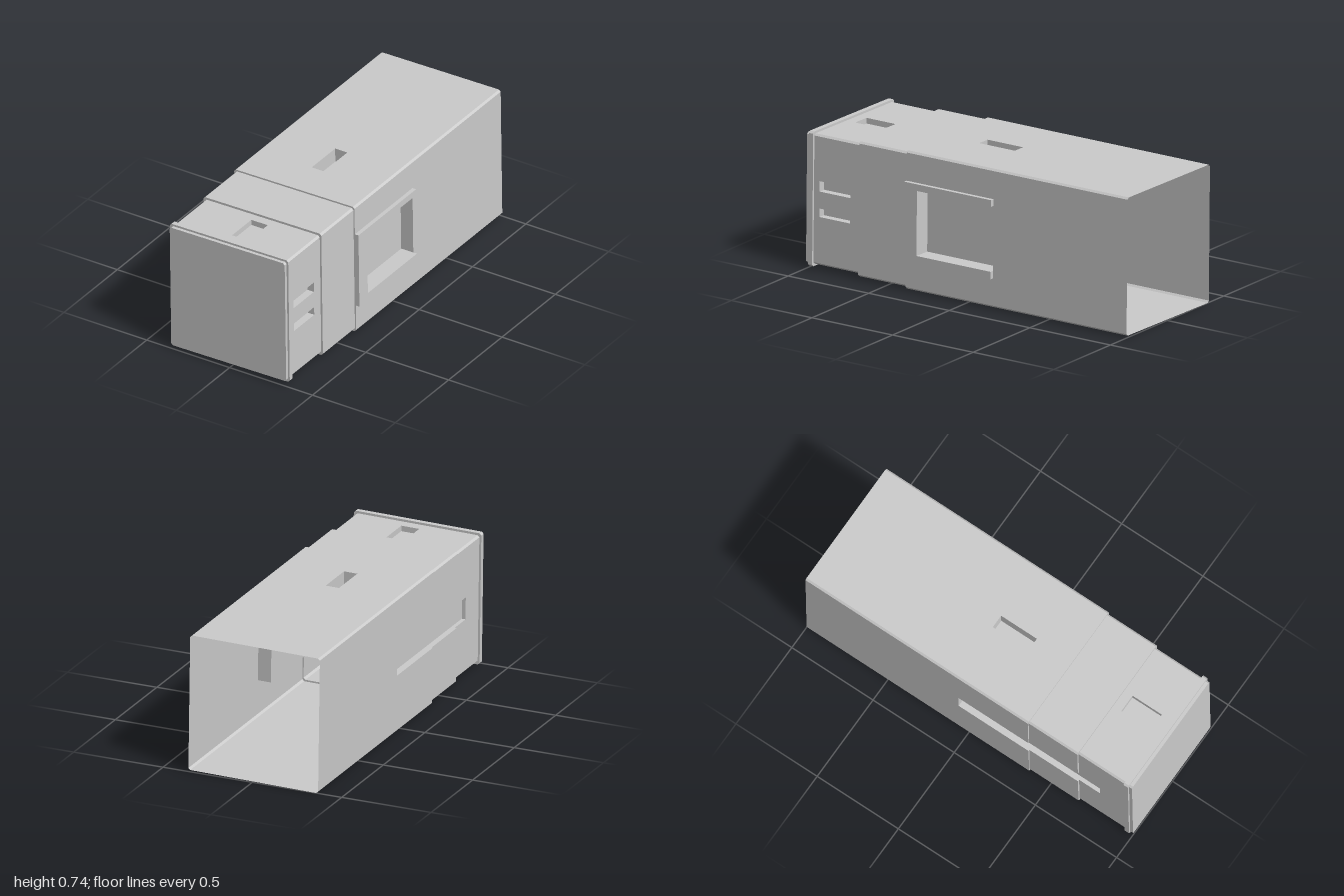
import * as THREE from 'three';

const CHAMFER = 0.01;
const mat = new THREE.MeshStandardMaterial({ color: 0xcccccc, flatShading: true, side: THREE.DoubleSide });

// Four sides of the square tube: outward normal n, along-the-side direction t
const SIDES = {
  right: { n: [1, 0], t: [0, 1], axis: 0 },
  left: { n: [-1, 0], t: [0, 1], axis: 0 },
  top: { n: [0, 1], t: [1, 0], axis: 1 },
  bottom: { n: [0, -1], t: [1, 0], axis: 1 },
};
const at = (s, u, d, z) => [s.n[0] * d + s.t[0] * u, s.n[1] * d + s.t[1] * u, z];

// Tube sections from back to front: z range and half width / half height
const SECTIONS = [
  { name: 'outerSleeve', z: [-1, 0.37], h: [0.363, 0.367] },
  { name: 'middleSleeve', z: [0.37, 0.67], h: [0.356, 0.358] },
  { name: 'frontSleeve', z: [0.67, 0.955], h: [0.346, 0.346] },
  { name: 'frontLip', z: [0.955, 0.982], h: [0.357, 0.358] },
  { name: 'frontPlate', z: [0.982, 1], h: [0.347, 0.347] },
];

// Recesses: u range, z range, and floor distance from the tube axis
const POCKETS = [
  { side: 'right', u: [-0.172, 0.173], z: [-0.17, 0.29], floor: 0.29 },
  { side: 'right', u: [0.045, 0.1], z: [0.73, 0.92], floor: 0.306 },
  { side: 'right', u: [-0.09, -0.045], z: [0.73, 0.92], floor: 0.306 },
  { side: 'left', u: [-0.057, 0.063], z: [-0.06, 0.8], floor: 0.325 },
  { side: 'top', u: [-0.037, 0.037], z: [-0.07, 0.15], floor: 0.29 },
  { side: 'top', u: [-0.035, 0.065], z: [0.72, 0.9], floor: 0.316 },
  { side: 'bottom', u: [-0.22, -0.14], z: [-0.02, 0.2], floor: 0.31 },
  { side: 'bottom', u: [-0.02, 0.03], z: [0.75, 0.93], floor: 0.316 },
];

function quadMesh(name, quads) {
  const pos = [];
  for (const [a, b, c, d] of quads) pos.push(...a, ...b, ...c, ...a, ...c, ...d);
  const g = new THREE.BufferGeometry();
  g.setAttribute('position', new THREE.Float32BufferAttribute(pos, 3));
  g.computeVertexNormals();
  const m = new THREE.Mesh(g, mat);
  m.name = name;
  return m;
}

const inside = (v, [a, b]) => v > a && v < b;
const breaks = (lo, hi, vals) =>
  [lo, ...vals.filter((v) => inside(v, [lo, hi])), hi].sort((a, b) => a - b);

// One tube section: walls cut around the recesses, plus chamfered corners
function sectionMesh({ name, z, h }) {
  const quads = [];
  for (const [key, s] of Object.entries(SIDES)) {
    const d = h[s.axis], w = h[1 - s.axis] - CHAMFER;
    const holes = POCKETS.filter((p) => p.side === key && p.z[0] < z[1] && p.z[1] > z[0]);
    const us = breaks(-w, w, holes.flatMap((p) => p.u));
    const zs = breaks(z[0], z[1], holes.flatMap((p) => p.z));
    for (let i = 0; i < us.length - 1; i++) for (let j = 0; j < zs.length - 1; j++) {
      const [u0, u1, z0, z1] = [us[i], us[i + 1], zs[j], zs[j + 1]];
      if (holes.some((p) => inside((u0 + u1) / 2, p.u) && inside((z0 + z1) / 2, p.z))) continue;
      quads.push([at(s, u0, d, z0), at(s, u1, d, z0), at(s, u1, d, z1), at(s, u0, d, z1)]);
    }
    // recess walls and floor within this section
    for (const p of holes) {
      const [u0, u1] = p.u, f = p.floor;
      const z0 = Math.max(p.z[0], z[0]), z1 = Math.min(p.z[1], z[1]);
      quads.push([at(s, u0, f, z0), at(s, u1, f, z0), at(s, u1, f, z1), at(s, u0, f, z1)]);
      for (const u of p.u) quads.push([at(s, u, f, z0), at(s, u, d, z0), at(s, u, d, z1), at(s, u, f, z1)]);
      for (const e of p.z) {
        if (e >= z[0] && e <= z[1]) quads.push([at(s, u0, f, e), at(s, u1, f, e), at(s, u1, d, e), at(s, u0, d, e)]);
      }
    }
  }
  for (const sx of [-1, 1]) for (const sy of [-1, 1]) {
    const a = [sx * h[0], sy * (h[1] - CHAMFER)], b = [sx * (h[0] - CHAMFER), sy * h[1]];
    quads.push([[...a, z[0]], [...b, z[0]], [...b, z[1]], [...a, z[1]]]);
  }
  return quadMesh(name, quads);
}

// Thin step face joining two neighbouring sections, notched where a recess crosses it
function stepMesh(a, b) {
  const quads = [], z = a.z[1];
  for (const [key, s] of Object.entries(SIDES)) {
    const [da, db] = [a.h[s.axis], b.h[s.axis]];
    const [wa, wb] = [a, b].map((q) => q.h[1 - s.axis] - CHAMFER);
    const holes = POCKETS.filter((p) => p.side === key && inside(z, p.z));
    const us = breaks(-1, 1, holes.flatMap((p) => p.u));
    const fit = (u, w) => Math.max(-w, Math.min(w, u));
    for (let i = 0; i < us.length - 1; i++) {
      const [u0, u1] = [us[i], us[i + 1]];
      if (holes.some((p) => inside((u0 + u1) / 2, p.u))) continue;
      quads.push([at(s, fit(u0, wa), da, z), at(s, fit(u1, wa), da, z), at(s, fit(u1, wb), db, z), at(s, fit(u0, wb), db, z)]);
    }
  }
  for (const sx of [-1, 1]) for (const sy of [-1, 1]) {
    const [p, q] = [a, b].map(({ h }) => [
      [sx * h[0], sy * (h[1] - CHAMFER), z], [sx * (h[0] - CHAMFER), sy * h[1], z]]);
    quads.push([p[0], p[1], q[1], q[0]]);
  }
  return quadMesh('step', quads);
}

// Flat chamfered panel closing the front
function frontPanel({ h: [x, y], z }) {
  const c = CHAMFER;
  const pts = [[x, y - c], [x - c, y], [c - x, y], [-x, y - c], [-x, c - y], [c - x, -y], [x - c, -y], [x, c - y]];
  const m = new THREE.Mesh(new THREE.ShapeGeometry(new THREE.Shape(pts.map((p) => new THREE.Vector2(...p)))), mat);
  m.position.z = z[1];
  m.name = 'frontPanel';
  return m;
}

export function createModel() {
  const group = new THREE.Group();
  group.name = 'housing';
  const body = new THREE.Group();
  body.name = 'body';
  SECTIONS.forEach((s, i) => {
    body.add(sectionMesh(s));
    if (i) body.add(stepMesh(SECTIONS[i - 1], s));
  });
  body.add(frontPanel(SECTIONS[4]));

  // Raised three-sided frame around the large side recess, open to the back
  const bar = (name, y0, y1, z0, z1) => {
    const m = new THREE.Mesh(new THREE.BoxGeometry(0.023, y1 - y0, z1 - z0), mat);
    m.position.set(0.3735, (y0 + y1) / 2, (z0 + z1) / 2);
    m.name = name;
    body.add(m);
  };
  bar('frameTop', 0.173, 0.208, -0.17, 0.29);
  bar('frameBottom', -0.212, -0.172, -0.17, 0.29);
  bar('frameFront', -0.212, 0.208, 0.29, 0.37);

  // Slight roll of the whole body
  body.rotation.z = 0.0137;
  body.position.set(-0.01, 0.372, 0);
  group.add(body);
  return group;
}
